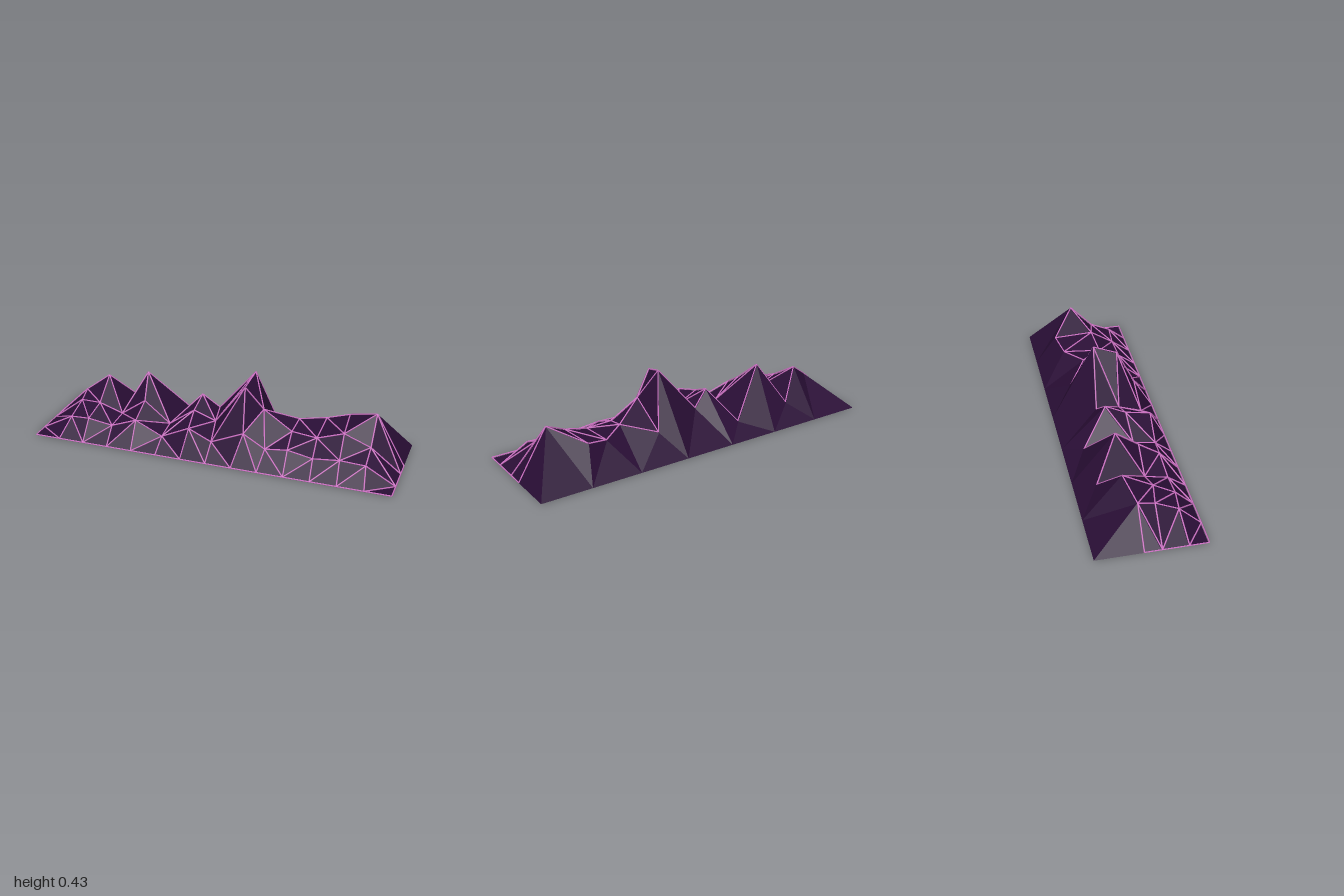
import * as THREE from 'three';
import { mergeGeometries } from 'three/addons/utils/BufferGeometryUtils.js';

// Ridge lines from front to back; each point is [x, y, z]
const edgeRow = (z, n) =>
  Array.from({ length: n }, (_, i) => [-1 + (2 * i) / (n - 1), 0, z]);

const foothills = [
  [-1, 0, 0.18], [-0.83, 0.09, 0.17], [-0.72, 0.1, 0.18], [-0.58, 0.08, 0.18],
  [-0.44, 0.13, 0.17], [-0.28, 0.07, 0.19], [-0.12, 0.15, 0.2], [0, 0.08, 0.18],
  [0.18, 0.16, 0.18], [0.3, 0.09, 0.18], [0.42, 0.1, 0.17], [0.56, 0.08, 0.18],
  [0.7, 0.09, 0.17], [0.84, 0.09, 0.18], [1, 0, 0.18],
];
const slopes = [
  [-1, 0, 0.045], [-0.82, 0.14, 0.05], [-0.7, 0.15, 0.07], [-0.57, 0.1, 0.06],
  [-0.43, 0.2, 0.06], [-0.28, 0.09, 0.07], [-0.14, 0.19, 0.06], [-0.02, 0.14, 0.05],
  [0.155, 0.38, 0.075], [0.25, 0.25, 0.04], [0.41, 0.15, 0.05], [0.55, 0.14, 0.06],
  [0.69, 0.18, 0.04], [0.84, 0.14, 0.07], [1, 0, 0.045],
];
const summits = [
  [-1, 0, -0.045], [-0.83, 0.165, -0.04], [-0.71, 0.25, -0.09], [-0.58, 0.1, -0.19],
  [-0.46, 0.315, -0.07], [-0.25, 0.07, -0.19], [-0.13, 0.24, -0.05], [-0.04, 0.16, -0.08],
  [0.175, 0.42, -0.05], [0.25, 0.13, -0.17], [0.42, 0.175, -0.06], [0.55, 0.16, -0.15],
  [0.67, 0.185, -0.18], [0.84, 0.275, -0.055], [1, 0, -0.045],
];

// Join two rows with triangles, always taking the shorter diagonal
function stitch(front, back) {
  const dist = (p, q) => Math.hypot(p[0] - q[0], p[2] - q[2]);
  const tris = [];
  let i = 0, j = 0;
  while (i < front.length - 1 || j < back.length - 1) {
    const canFront = i < front.length - 1, canBack = j < back.length - 1;
    if (canFront && (!canBack || dist(front[i + 1], back[j]) <= dist(front[i], back[j + 1]))) {
      tris.push([front[i], front[i + 1], back[j]]);
      i++;
    } else {
      tris.push([front[i], back[j + 1], back[j]]);
      j++;
    }
  }
  return tris;
}

function facetedGeometry(tris) {
  const geometry = new THREE.BufferGeometry();
  geometry.setAttribute('position', new THREE.Float32BufferAttribute(tris.flat(2), 3));
  geometry.computeVertexNormals();
  return geometry;
}

// Thin four-sided rods along every distinct triangle edge
function wireGeometry(tris, radius) {
  const edges = new Map();
  for (const t of tris) {
    for (let k = 0; k < 3; k++) {
      const pair = [t[k], t[(k + 1) % 3]];
      edges.set(pair.map((p) => p.join()).sort().join('|'), pair);
    }
  }
  const up = new THREE.Vector3(0, 1, 0);
  const rods = [...edges.values()].map(([p, q]) => {
    const a = new THREE.Vector3(...p), b = new THREE.Vector3(...q);
    const along = b.clone().sub(a);
    const rod = new THREE.CylinderGeometry(radius, radius, along.length(), 4, 1, true);
    rod.applyQuaternion(new THREE.Quaternion().setFromUnitVectors(up, along.normalize()));
    const mid = a.add(b).multiplyScalar(0.5);
    return rod.translate(mid.x, mid.y, mid.z);
  });
  return mergeGeometries(rods);
}

export function createModel() {
  const rock = new THREE.MeshStandardMaterial({
    name: 'dark purple rock', color: 0x2a0e36, flatShading: true, side: THREE.DoubleSide,
  });
  const glow = new THREE.MeshStandardMaterial({ name: 'pink wire', color: 0xd977cf });

  const group = new THREE.Group();
  group.name = 'mountainRange';
  const rows = [edgeRow(0.28, 15), foothills, slopes, summits, edgeRow(-0.288, 8)];

  // Faceted front and summits
  const frontTris = [];
  for (let r = 0; r < 3; r++) frontTris.push(...stitch(rows[r], rows[r + 1]));
  const front = new THREE.Mesh(facetedGeometry(frontTris), rock);
  front.name = 'frontSlopes';

  // Plain back slopes
  const back = new THREE.Mesh(facetedGeometry(stitch(rows[3], rows[4])), rock);
  back.name = 'backSlopes';

  // Wire net lying just ahead of the front slopes
  const wires = new THREE.Mesh(wireGeometry(frontTris, 0.004), glow);
  wires.name = 'wireNet';
  wires.position.set(0, 0.003, 0.005);

  group.add(front, back, wires);
  return group;
}
